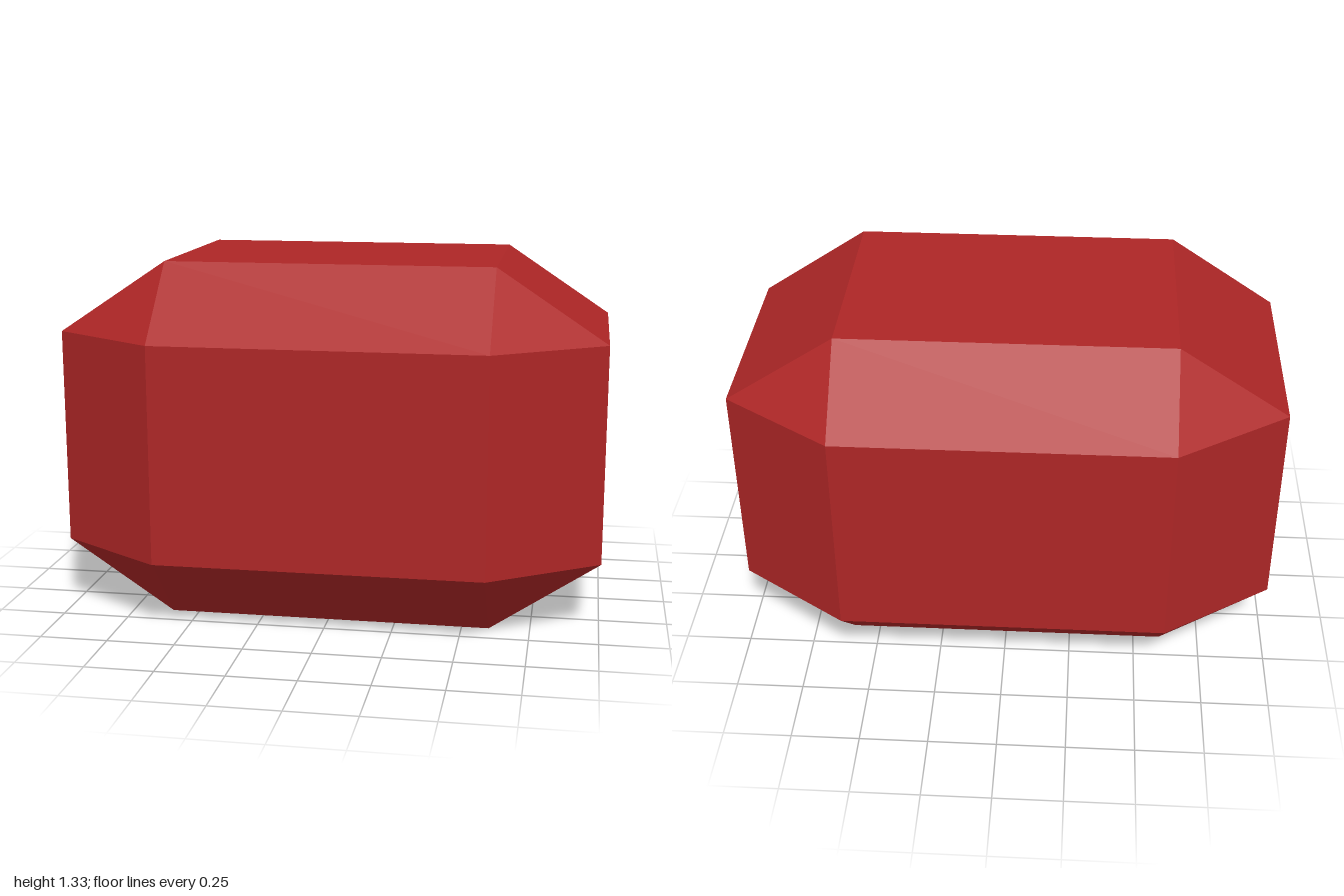
import * as THREE from 'three';
import { ConvexGeometry } from 'three/addons/geometries/ConvexGeometry.js';

export function createModel() {
  const group = new THREE.Group();
  const red = new THREE.MeshStandardMaterial({ color: 0xad2626 });
  red.name = 'deep red';

  // Bevelled block: each signed corner is cut into a small triangle
  const half = [1, 2 / 3, 2 / 3]; // full half extents
  const flat = [0.6, 0.4, 0.4]; // half extents of the flat faces
  const points = [];
  for (const sx of [-1, 1]) for (const sy of [-1, 1]) for (const sz of [-1, 1]) {
    for (let axis = 0; axis < 3; axis++) {
      const c = flat.map((f, i) => (i === axis ? half[i] : f));
      points.push(new THREE.Vector3(sx * c[0], sy * c[1], sz * c[2]));
    }
  }

  const body = new THREE.Mesh(new ConvexGeometry(points), red);
  body.name = 'bevelledBlock';
  body.position.y = half[1];
  group.add(body);
  return group;
}
